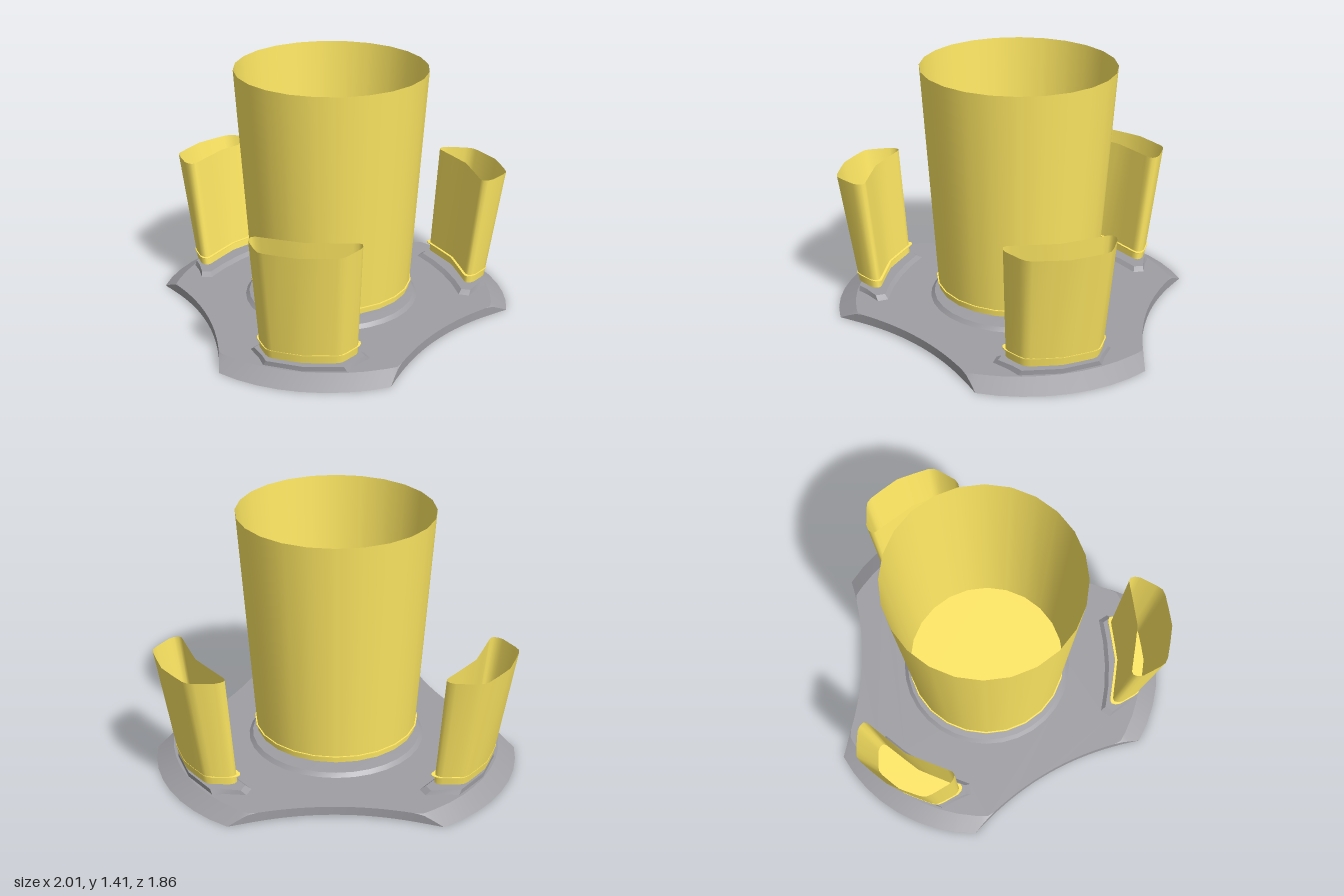
import * as THREE from 'three';
import { toCreasedNormals } from 'three/addons/utils/BufferGeometryUtils.js';

const V = (x, y, z) => new THREE.Vector3(x, y, z);
const yellow = new THREE.MeshStandardMaterial({ color: 0xffe863, side: THREE.DoubleSide });
const grey = new THREE.MeshStandardMaterial({ color: 0x9f9ea3, side: THREE.DoubleSide });

// Skin through loops of equal length, optionally capping the last one
function loft(loops, cap, crease = 0.5) {
  const n = loops[0].length, pos = [];
  const tri = (...p) => p.forEach(v => pos.push(v.x, v.y, v.z));
  for (let k = 0; k + 1 < loops.length; k++) {
    const a = loops[k], b = loops[k + 1];
    for (let i = 0; i < n; i++) {
      const j = (i + 1) % n;
      tri(a[i], a[j], b[j]);
      tri(a[i], b[j], b[i]);
    }
  }
  if (cap) {
    const end = loops[loops.length - 1];
    const flat = end.map(p => new THREE.Vector2(p.x, -p.z));
    for (const [i, j, k] of THREE.ShapeUtils.triangulateShape(flat, [])) tri(end[i], end[j], end[k]);
  }
  const g = new THREE.BufferGeometry();
  g.setAttribute('position', new THREE.Float32BufferAttribute(pos, 3));
  return toCreasedNormals(g, crease);
}

function add(parent, name, geometry, material) {
  const m = new THREE.Mesh(geometry, material);
  m.name = name;
  parent.add(m);
}

// Half outline [x, radius] from outer middle to inner middle, completed by mirroring
const mirrored = half => [...half, ...half.slice(1, -1).reverse().map(([x, z]) => [-x, z])];
const level = (pts, y) => pts.map(([x, z]) => V(x, y, z));
// Scale an outline about a point on its axis
const scaled = (pts, sx, sz, mid) => pts.map(([x, z]) => [x * sx, mid + (z - mid) * sz]);
const circle = (r, n) => Array.from({ length: n }, (_, i) =>
  [r * Math.sin(i / n * 2 * Math.PI), r * Math.cos(i / n * 2 * Math.PI)]);
const turn = (pts, a) => pts.map(([x, z]) =>
  [x * Math.cos(a) + z * Math.sin(a), z * Math.cos(a) - x * Math.sin(a)]);

// Height of the base's upper surface: gentle slope, then a bevel at the lobe ends
const BEVEL = 0.915;
const topY = r => r > BEVEL
  ? 0.055 * THREE.MathUtils.clamp((1.005 - r) / 0.09, 0, 1)
  : 0.055 + 0.035 * (BEVEL - r);
const onTop = pts => pts.map(([x, z]) => V(x, topY(Math.hypot(x, z)), z));

// Three-lobed outline: bulging lobe ends joined by concave sides
function baseOutline() {
  const pts = [], half = 0.464;
  for (let k = 0; k < 3; k++) {
    const a = k * 2 * Math.PI / 3;
    const lobe = [], side = [];
    for (let i = 0; i <= 8; i++) {
      const u = i / 4 - 1, r = 1.02 - 0.015 * u * u;
      lobe.push([r * Math.sin(u * half), r * Math.cos(u * half)]);
    }
    for (let i = 1; i < 22; i++) {
      const t = -0.554 + 1.108 * i / 22;
      side.push([t, 0.747 + t * t / 3.35]);
    }
    pts.push(...turn(lobe, a), ...turn(side, a + Math.PI / 3));
  }
  return pts;
}

export function createModel() {
  const model = new THREE.Group();
  model.name = 'cupStand';
  const body = new THREE.Group();
  body.name = 'body';
  body.position.z = -0.1;
  model.add(body);

  const lobeAngles = [0, 1, 2].map(k => k * 2 * Math.PI / 3);
  const pad = mirrored([[0, 0.91], [0.22, 0.875], [0.255, 0.81], [0.318, 0.725],
    [0.285, 0.676], [0.15, 0.698], [0, 0.706]]);

  // Skirt of the hollow base: edge walls, slightly raised along the concave sides, and lobe bevels
  const outline = baseOutline();
  const inner = outline.map(([x, z]) => {
    const s = Math.min(1, BEVEL / Math.hypot(x, z));
    return [x * s, z * s];
  });
  const foot = outline.map(([x, z]) =>
    V(x, 0.012 * THREE.MathUtils.clamp((0.95 - Math.hypot(x, z)) / 0.2, 0, 1), z));
  add(body, 'baseSkirt', loft([foot, onTop(outline), onTop(inner)], false, 0.35), grey);

  // Base sheet, open under the raised centre and the pads
  const toPath = pts => pts.map(([x, z]) => new THREE.Vector2(x, -z));
  const sheet = new THREE.Shape(toPath(inner));
  const openings = [circle(0.49, 32), ...lobeAngles.map(a => turn(pad, a))];
  openings.forEach(o => sheet.holes.push(new THREE.Path(toPath(o))));
  const sheetGeometry = new THREE.ShapeGeometry(sheet).rotateX(-Math.PI / 2);
  const p = sheetGeometry.attributes.position;
  for (let i = 0; i < p.count; i++) p.setY(i, topY(Math.hypot(p.getX(i), p.getZ(i))));
  add(body, 'baseSheet', sheetGeometry, grey);

  // Raised centre under the large cup
  add(body, 'centreDome', loft([
    onTop(circle(0.49, 32)), level(circle(0.47, 32), 0.09),
    level(circle(0.25, 32), 0.112), level(circle(0.05, 32), 0.12),
  ], true), grey);

  // Large cup: thin tapered wall and a floor that shows as a fine ring outside
  const cup = new THREE.Group();
  cup.name = 'largeCup';
  body.add(cup);
  const wall = new THREE.CylinderGeometry(0.53, 0.446, 1.27, 24, 1, true);
  add(cup, 'largeCupWall', wall.translate(0, 0.775, 0), yellow);
  add(cup, 'largeCupFloor', loft([level(circle(0.456, 24), 0.172), level(circle(0.456, 24), 0.177)], true), yellow);

  // Three small outward-leaning cups, each on a raised pad
  const mouth = mirrored([[0, 1.025], [0.1, 1.01], [0.185, 0.994], [0.215, 0.98], [0.237, 0.95],
    [0.286, 0.86], [0.291, 0.83], [0.284, 0.805], [0.265, 0.796], [0.235, 0.8], [0.12, 0.818], [0, 0.835]]);
  const base = mouth.map(([x, z]) => [x * 0.89, 0.735 + (z - 0.795) * 0.8]);
  const floor = scaled(base, 1.06, 1.12, 0.835);
  for (const angle of lobeAngles) {
    const lobe = new THREE.Group();
    lobe.name = 'lobe';
    lobe.rotation.y = angle;
    body.add(lobe);
    add(lobe, 'pad', loft([onTop(pad), level(scaled(pad, 0.93, 0.89, 0.91), 0.082)], true), grey);
    add(lobe, 'smallCupWall', loft([level(base, 0.11), level(mouth, 0.745)], false, 1.2), yellow);
    add(lobe, 'smallCupFloor', loft([level(floor, 0.155), level(floor, 0.159)], true), yellow);
  }
  return model;
}
